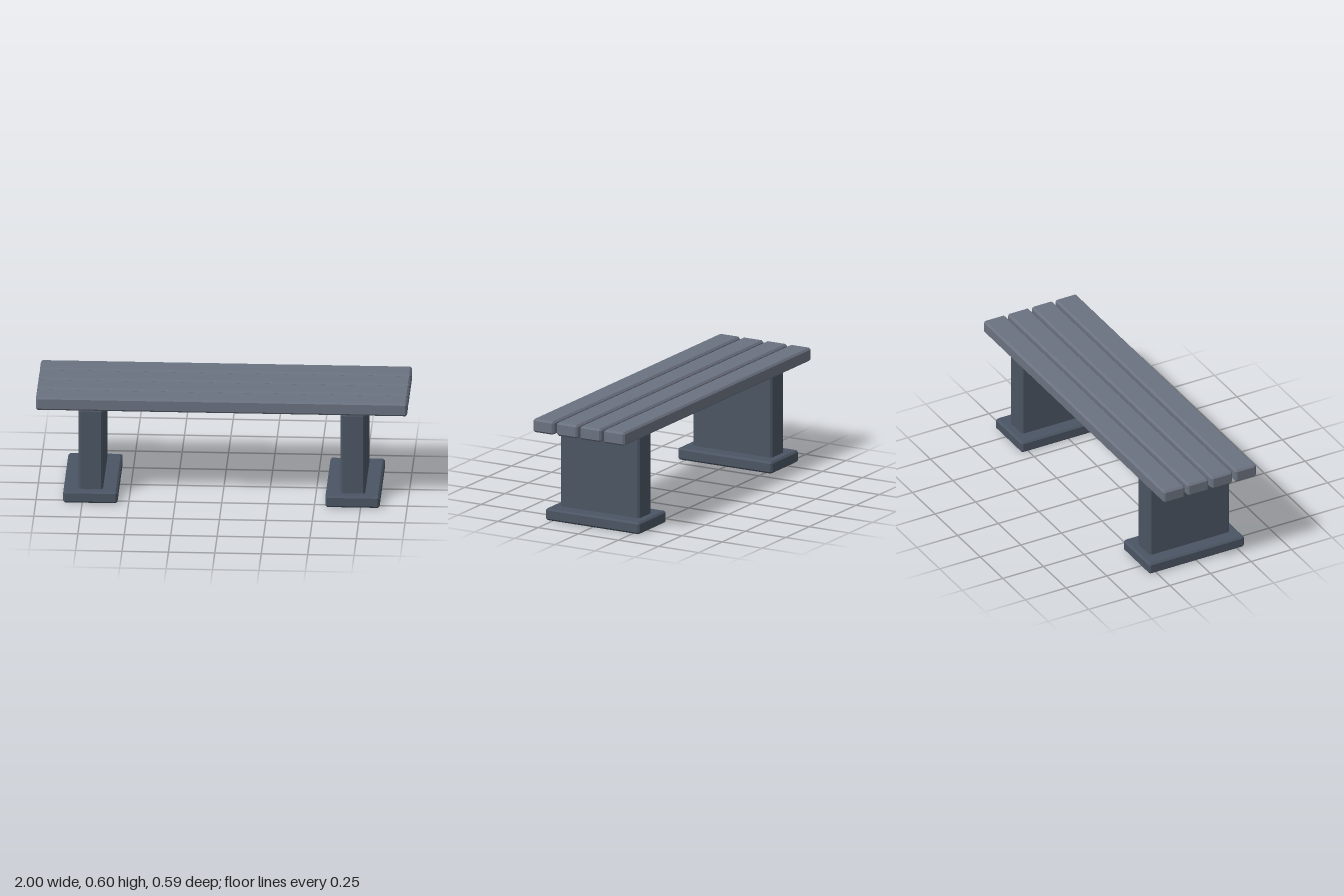
import * as THREE from 'three';
import { ConvexGeometry } from 'three/addons/geometries/ConvexGeometry.js';

const BEVEL = 0.01;

// Box with chamfered edges: three points around every corner, hulled
function chamferBox(w, h, d, b = BEVEL) {
  const points = [];
  for (const sx of [-1, 1]) for (const sy of [-1, 1]) for (const sz of [-1, 1]) {
    const x = w / 2, y = h / 2, z = d / 2;
    points.push(
      new THREE.Vector3(sx * x, sy * (y - b), sz * (z - b)),
      new THREE.Vector3(sx * (x - b), sy * y, sz * (z - b)),
      new THREE.Vector3(sx * (x - b), sy * (y - b), sz * z)
    );
  }
  return new ConvexGeometry(points);
}

export function createModel() {
  const bench = new THREE.Group();
  bench.name = 'bench';
  const slatMaterial = new THREE.MeshStandardMaterial({ color: 0x6b7280 });
  const supportMaterial = new THREE.MeshStandardMaterial({ color: 0x4b5563 });

  function add(name, geometry, material, x, y, z) {
    const mesh = new THREE.Mesh(geometry, material);
    mesh.name = name;
    mesh.position.set(x, y, z);
    bench.add(mesh);
  }

  // Four seat slats running the full length
  const slat = chamferBox(2, 0.074, 0.13);
  for (let i = 0; i < 4; i++) {
    add(`seatSlat${i + 1}`, slat, slatMaterial, 0, 0.565, (1.5 - i) * 0.147);
  }

  // Slab legs standing on wider foot plates, the legs sunk slightly into them
  const leg = chamferBox(0.132, 0.471, 0.494);
  const foot = chamferBox(0.293, 0.066, 0.587);
  for (const [side, x] of [['left', 0.706], ['right', -0.706]]) {
    add(`${side}Leg`, leg, supportMaterial, x, 0.2855, 0);
    add(`${side}Foot`, foot, supportMaterial, x, 0.033, 0);
  }

  return bench;
}
